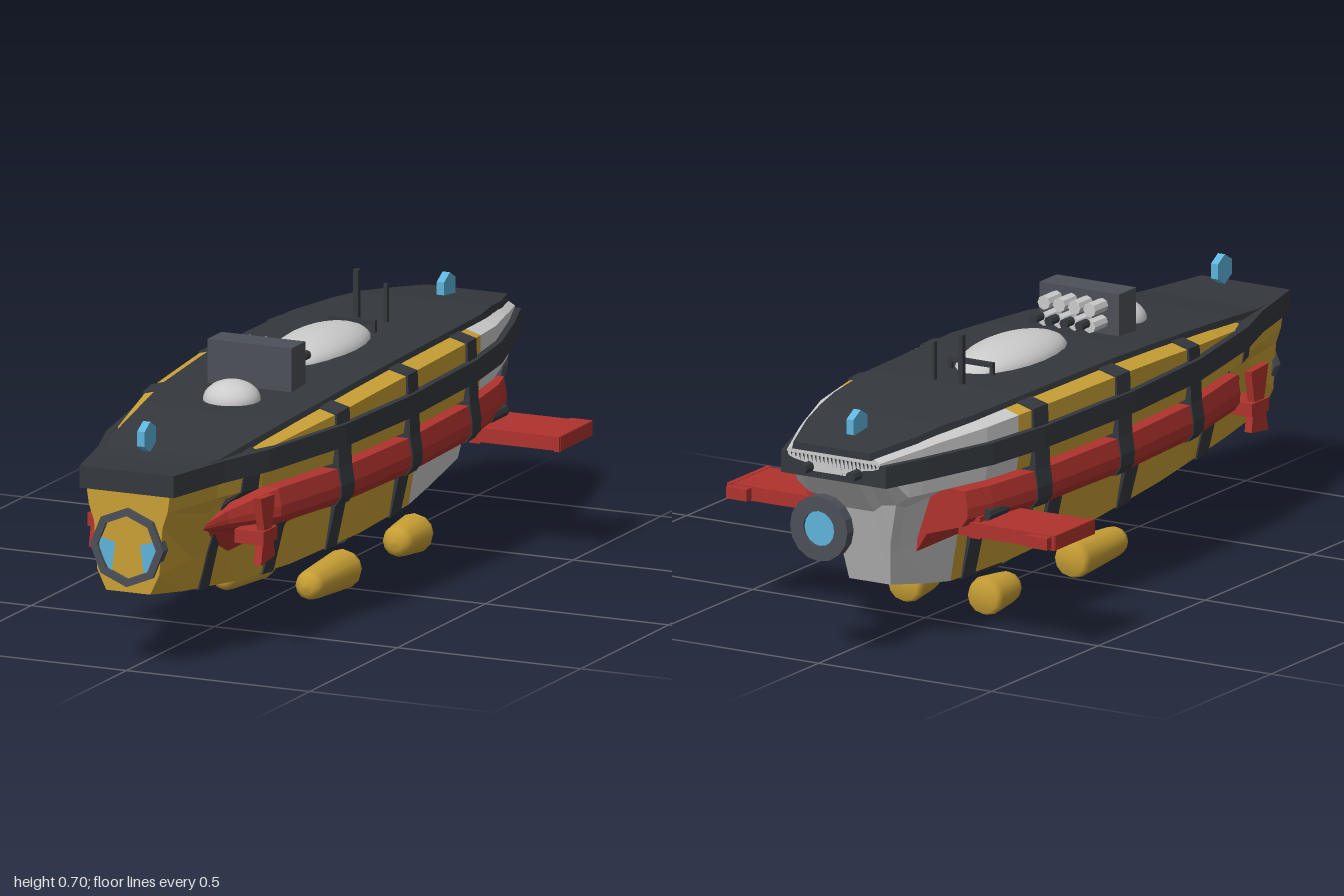
import * as THREE from 'three';

const mat = (color, flat = true) =>
  new THREE.MeshStandardMaterial({ color, flatShading: flat, side: THREE.DoubleSide });
const YELLOW = mat(0xc9a035), DARK = mat(0x34383d), RED = mat(0xb0332d), WHITE = mat(0xd4d6d8),
  BLUE = mat(0x5fb4dc), GREY = mat(0x4c5058), DOME = mat(0xd4d6d8, false), BRASS = mat(0xc9a035, false);

// Piecewise linear lookup along the ship, pairs of [z, value] from bow to stern
const along = (t) => (z) => {
  let i = 0;
  while (i < t.length - 2 && z < t[i + 1][0]) i++;
  const k = (z - t[i][0]) / (t[i + 1][0] - t[i][0]);
  return t[i][1] + k * (t[i + 1][1] - t[i][1]);
};
const beam = along([[1, 0.115], [0.8, 0.16], [0.65, 0.21], [0.33, 0.268], [0, 0.285], [-0.4, 0.272], [-0.6, 0.245], [-0.8, 0.185], [-0.94, 0.135]]);
const deckHalf = along([[1, 0.12], [0.8, 0.16], [0.65, 0.18], [0.33, 0.218], [0, 0.232], [-0.4, 0.222], [-0.6, 0.202], [-0.8, 0.158], [-0.94, 0.11]]);
const deckY = along([[1, 0.505], [0.8, 0.51], [0.6, 0.535], [0.3, 0.565], [0, 0.58], [-0.4, 0.58], [-0.7, 0.567], [-0.94, 0.538]]);
const keelY = along([[1, 0.2], [0.8, 0.165], [0.5, 0.125], [0.2, 0.1], [-0.2, 0.09], [-0.5, 0.1], [-0.76, 0.155], [-0.84, 0.36], [-0.94, 0.48]]);

// Join cross-sections (counterclockwise from the front) listed bow to stern
function loft(zs, section) {
  const rings = zs.map((z) => section(z).map(([x, y]) => new THREE.Vector3(x, y, z)));
  const n = rings[0].length, pos = [];
  const tri = (...p) => p.forEach((v) => pos.push(v.x, v.y, v.z));
  for (let i = 0; i < rings.length - 1; i++)
    for (let j = 0; j < n; j++) {
      const k = (j + 1) % n, a = rings[i][j], b = rings[i][k], c = rings[i + 1][k], d = rings[i + 1][j];
      tri(a, d, b);
      tri(b, d, c);
    }
  const cap = (r, flip) => THREE.ShapeUtils.triangulateShape(r.map((v) => new THREE.Vector2(v.x, v.y)), [])
    .forEach(([a, b, c]) => (flip ? tri(r[a], r[c], r[b]) : tri(r[a], r[b], r[c])));
  cap(rings[0], false);
  cap(rings[rings.length - 1], true);
  const g = new THREE.BufferGeometry();
  g.setAttribute('position', new THREE.Float32BufferAttribute(pos, 3));
  g.computeVertexNormals();
  return g;
}
const mirrored = (half) => [...half, ...half.map(([x, y]) => [-x, y]).reverse()];
const points = (list) => list.map(([x, y]) => new THREE.Vector2(x, y));

// Narrow keel below, wide shoulders above
const hullSection = (grow = 0) => (z) => {
  const w = beam(z) - 0.004 + grow, b = keelY(z), t = deckY(z);
  return mirrored([
    [0.06 + grow, b - grow], [0.085 + grow, Math.max(0.25, b + 0.02)],
    [Math.min(0.125, w - 0.02) + grow, Math.max(0.37, b + 0.025)],
    [w - 0.006, Math.max(0.41, b + 0.03)], [w, Math.max(0.45, b + 0.035)],
    [w, Math.max(t - 0.026, b + 0.04)], [deckHalf(z) - 0.005, t - 0.012 + grow]]);
};
const ribSection = (z) => {
  const w = beam(z), t = deckY(z);
  return mirrored([
    [0.063, keelY(z) - 0.004], [0.092, 0.221], [0.118, 0.271], [w - 0.002, 0.303], [w + 0.014, 0.326],
    [w + 0.015, 0.356], [w + 0.008, 0.402], [w + 0.001, t - 0.023], [deckHalf(z) - 0.005, t - 0.008]]);
};

export function createModel() {
  const ship = new THREE.Group();
  const add = (name, geo, material, x = 0, y = 0, z = 0) => {
    const m = new THREE.Mesh(geo, material);
    m.name = name;
    m.position.set(x, y, z);
    ship.add(m);
  };
  const box = (name, w, h, d, material, x, y, z) => add(name, new THREE.BoxGeometry(w, h, d), material, x, y, z);
  // Cylinder lying along z: first radius faces the bow
  const rod = (name, rFront, rBack, len, sides, material, x, y, z) =>
    add(name, new THREE.CylinderGeometry(rFront, rBack, len, sides).rotateX(Math.PI / 2), material, x, y, z);

  // Hull, stern plating, deck and rail
  add('hull', loft([0.99, 0.8, 0.65, 0.5, 0.33, 0.2, 0, -0.2, -0.4, -0.48], hullSection()), YELLOW);
  add('sternHull', loft([-0.48, -0.6, -0.76, -0.8, -0.84, -0.93], hullSection()), WHITE);
  add('deck', loft([0.99, 0.8, 0.65, 0.5, 0.33, 0.15, 0, -0.2, -0.4, -0.6, -0.7, -0.8, -0.94], (z) =>
    mirrored([[deckHalf(z) + 0.004, deckY(z) - 0.018], [deckHalf(z), deckY(z)]])), DARK);
  add('rail', loft([1, 0.8, 0.65, 0.33, 0, -0.4, -0.6, -0.8, -0.93], (z) =>
    mirrored([[beam(z) + 0.013, 0.452], [beam(z) + 0.013, 0.508]])), DARK);

  // Ribs wrapping the hull
  add('bowRib', loft([0.72, 0.665], hullSection(0.004)), DARK);
  for (const z of [0.325, -0.035, -0.4]) add('rib', loft([z + 0.03, z - 0.03], ribSection), DARK);

  // Nose porthole
  const ring = new THREE.Shape(), hole = new THREE.Path();
  for (let i = 0; i < 8; i++) {
    const a = (i * Math.PI) / 4, c = Math.cos(a), s = Math.sin(a);
    ring[i ? 'lineTo' : 'moveTo'](0.1 * c, 0.1 * s);
    hole[i ? 'lineTo' : 'moveTo'](0.08 * c, 0.08 * s);
  }
  ring.holes.push(hole);
  add('noseRing', new THREE.ExtrudeGeometry(ring, { depth: 0.03, bevelEnabled: false }), GREY, 0, 0.313, 0.97);

  for (const s of [1, -1]) {
    const pane = new THREE.Shape(points([[0.034, 0.01], [0.044, -0.07], [0.078, -0.02], [0.077, 0.02]].map(([x, y]) => [s * x, y])));
    add('nosePane', new THREE.ShapeGeometry(pane), BLUE, 0, 0.313, 0.993);

    // Side float tucked under the hull shoulder, tapering into the bow
    add('sideFloat', loft([0.8, 0.72, 0.6, 0.5, 0.33, 0.15, 0, -0.2, -0.4, -0.6, -0.68], (z) => {
      const w = beam(z), k = THREE.MathUtils.clamp((0.82 - z) / 0.22, 0, 1);
      const p = [[0.085, 0.225], [0.115, 0.274], [w - 0.005, 0.306], [w + 0.011, 0.328], [w + 0.012, 0.355], [w + 0.004, 0.398], [0.1, 0.4]]
        .map(([x, y]) => [0.1 + (x - 0.1) * k, 0.325 + (y - 0.325) * k]);
      return s > 0 ? p : p.map(([x, y]) => [-x, y]).reverse();
    }), RED);

    // Crossed bow fins, pinched in the middle
    const blade = new THREE.Shape(points([
      [-0.045, -0.085], [0.035, -0.075], [0.02, 0], [0.035, 0.08], [-0.045, 0.085], [-0.025, 0]]));
    add('bowFin', new THREE.ExtrudeGeometry(blade, { depth: 0.02, bevelEnabled: false })
      .translate(0, 0, -0.01).rotateY(Math.PI / 2), RED, s * 0.225, 0.315, 0.68);
    box('bowFinStub', 0.08, 0.034, 0.08, RED, s * 0.2, 0.298, 0.68);

    // Stern wing with tip, brace and root pod
    box('wing', 0.28, 0.036, 0.18, RED, s * 0.335, 0.297, -0.57);
    box('wingTip', 0.014, 0.038, 0.19, RED, s * 0.467, 0.297, -0.568);
    box('wingTab', 0.06, 0.03, 0.025, RED, s * 0.435, 0.297, -0.67);
    box('wingRootPanel', 0.03, 0.056, 0.16, RED, s * 0.235, 0.3, -0.57);
    rod('wingRootPod', 0.016, 0.016, 0.09, 8, DARK, s * 0.25, 0.328, -0.58);

    // Keel gun: pale barrel and dark pods
    rod('gunBarrel', 0.014, 0.008, 0.15, 6, WHITE, s * 0.102, 0.247, 0.03);
    rod('gunBody', 0.01, 0.016, 0.09, 6, DARK, s * 0.1, 0.236, -0.13);
    rod('gunTail', 0.016, 0.01, 0.09, 6, DARK, s * 0.1, 0.228, -0.225);

    // Hanging brass tanks, rounded in front and wide aft
    const tank = (name, len, z, r) => {
      const h = len / 2;
      const profile = points([[0, -h], [r * 0.5, -h + 0.003], [r * 0.85, -h + 0.012], [r, -h + 0.03],
        [0.05, h - 0.02], [0.042, h], [0, h]]);
      add(name, new THREE.LatheGeometry(profile, 12).rotateX(-Math.PI / 2), BRASS, s * 0.115, 0.052, z);
    };
    tank('midTank', 0.235, 0.105, 0.038);
    tank('aftTank', 0.14, -0.35, 0.041);

    // Stern pipes
    rod('sternPipe', 0.014, 0.014, 0.12, 8, DARK, s * 0.07, 0.478, -0.905);
  }

  // Stern engine ring
  add('engineRing', new THREE.LatheGeometry(
    points([[0.045, -0.015], [0.083, -0.015], [0.083, 0.015], [0.045, 0.015], [0.045, -0.015]]), 16)
    .rotateX(Math.PI / 2), GREY, 0, 0.345, -0.985);
  rod('engineCore', 0.047, 0.047, 0.02, 16, BLUE, 0, 0.345, -0.983);

  // Belly gondola
  rod('gondola', 0.038, 0.03, 0.12, 8, DARK, 0, 0.093, -0.25);
  rod('gondolaGlass', 0.022, 0.028, 0.012, 8, BLUE, 0, 0.09, -0.186);

  // Deckhouse with exhaust pipes
  box('deckhouse', 0.23, 0.112, 0.08, GREY, 0, 0.619, 0.26);
  for (let i = 0; i < 4; i++) {
    const x = -0.066 + i * 0.044;
    rod('exhaustPipe', 0.018, 0.018, 0.06, 8, WHITE, x, 0.642, 0.19);
    rod('lowerPipe', 0.017, 0.017, 0.06, 8, WHITE, x, 0.6, 0.19);
    rod('pipeEnd', 0.012, 0.012, 0.035, 8, DARK, x, 0.612, 0.128);
  }

  // Domes on deck
  const dome = (name, rx, ry, rz, y, z) =>
    add(name, new THREE.SphereGeometry(1, 20, 8, 0, Math.PI * 2, 0, Math.PI / 2).scale(rx, ry, rz), DOME, 0, y, z);
  dome('frontDome', 0.072, 0.05, 0.072, 0.556, 0.4);
  dome('longDome', 0.1, 0.055, 0.21, 0.573, -0.1);

  // Hand rail and masts
  box('handRail', 0.13, 0.012, 0.012, DARK, 0, 0.605, -0.285);
  for (const x of [-0.06, 0.06]) box('handRailPost', 0.01, 0.035, 0.01, DARK, x, 0.592, -0.285);
  box('tallMast', 0.014, 0.13, 0.014, DARK, -0.04, 0.64, -0.395);
  box('shortMast', 0.01, 0.105, 0.01, DARK, 0.04, 0.625, -0.395);

  // Hexagonal lamps above bow and stern
  for (const z of [0.885, -0.82])
    add('hexLamp', new THREE.CylinderGeometry(0.038, 0.038, 0.02, 6).rotateX(Math.PI / 2).rotateY(Math.PI / 2), BLUE, 0, 0.57, z);

  return ship;
}
